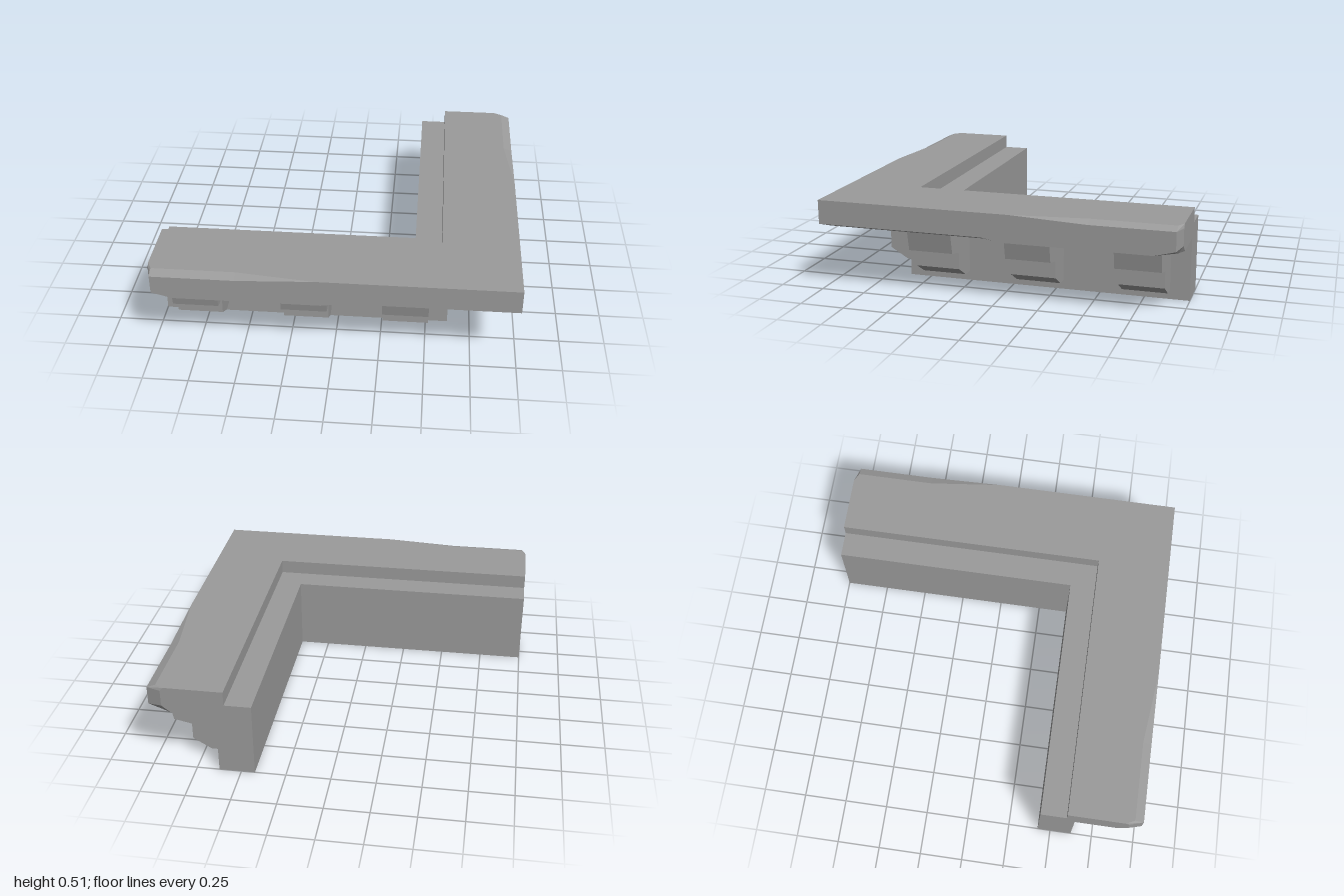
import * as THREE from 'three';

const material = new THREE.MeshStandardMaterial({ color: 0x9b9b9b, flatShading: true });

// Mirror a geometry across the corner diagonal (x <-> z), keeping faces outward
function swapXZ(geometry) {
  const g = geometry.index ? geometry.toNonIndexed() : geometry.clone();
  const src = g.attributes.position.clone();
  const order = [0, 2, 1];
  for (let i = 0; i < src.count; i++) {
    const k = i - (i % 3) + order[i % 3];
    g.attributes.position.setXYZ(i, src.getZ(k), src.getY(k), src.getX(k));
  }
  g.computeVertexNormals();
  return g;
}

// Skin a list of equal-length closed sections, capping the first one
function loft(sections) {
  const pos = [];
  const tri = (...pts) => pts.forEach((p) => pos.push(...p));
  const n = sections[0].length;
  for (let i = 0; i < sections.length - 1; i++) {
    for (let j = 0; j < n; j++) {
      const k = (j + 1) % n;
      const [a, b, c, d] = [sections[i][j], sections[i][k], sections[i + 1][k], sections[i + 1][j]];
      tri(a, b, c);
      tri(a, c, d);
    }
  }
  const end = sections[0];
  for (let j = 1; j < n - 1; j++) tri(end[0], end[j + 1], end[j]);
  const g = new THREE.BufferGeometry();
  g.setAttribute('position', new THREE.Float32BufferAttribute(pos, 3));
  g.computeVertexNormals();
  return g;
}

export function createModel() {
  const group = new THREE.Group();
  const add = (geometry, name) => {
    const mesh = new THREE.Mesh(geometry, material);
    mesh.name = name;
    group.add(mesh);
  };

  // L-shaped wall
  const plan = new THREE.Shape([
    [-1, 0.424], [0.424, 0.424], [0.424, -1], [0.624, -1], [0.624, 0.624], [-1, 0.624],
  ].map(([x, z]) => new THREE.Vector2(x, z)));
  const wall = new THREE.ExtrudeGeometry(plan, { depth: 0.43, bevelEnabled: false });
  wall.rotateX(Math.PI / 2).translate(0, 0.43, 0);
  add(wall, 'wall');

  // Cap slab with worn edges: x, outer z, top chip (depth, drop), bottom chip (depth, rise)
  const section = ([x, z, topIn, topDrop, lowIn, lowRise]) => [
    [0.574, 0.357], [0.574, 0.512], [z - topIn, 0.512], [z, 0.512 - topDrop],
    [z, 0.357 + lowRise], [z - lowIn, 0.357],
  ].map(([pz, y]) => [x === 'mitre' ? pz : x, y, pz]);
  const cap = loft([
    [-1, 0.92, 0.02, 0.02, 0.05, 0.04],
    [-0.975, 1, 0.05, 0.02, 0.08, 0.03],
    [-0.86, 1, 0.05, 0.02, 0, 0],
    [-0.52, 1, 0.05, 0.02, 0, 0],
    [-0.09, 1, 0, 0, 0, 0],
    [-0.06, 1, 0, 0, 0, 0],
    [0.06, 1, 0, 0, 0.05, 0.02],
    ['mitre', 1, 0, 0, 0.05, 0.02],
  ].map(section));
  add(cap, 'frontCap');
  add(swapXZ(cap), 'sideCap');

  // Stepped brackets under the cap, three on each arm
  const profile = new THREE.Shape([
    [0.6, 0.055], [0.692, 0.055], [0.795, 0.117], [0.795, 0.214],
    [0.894, 0.236], [0.92, 0.36], [0.6, 0.36],
  ].map(([u, y]) => new THREE.Vector2(u, y)));
  [-0.89, -0.292, 0.263].forEach((start, i) => {
    const bracket = new THREE.ExtrudeGeometry(profile, { depth: 0.252, bevelEnabled: false });
    bracket.translate(0, 0, start);
    add(bracket, `sideBracket${i + 1}`);
    add(swapXZ(bracket), `frontBracket${i + 1}`);
  });

  return group;
}
